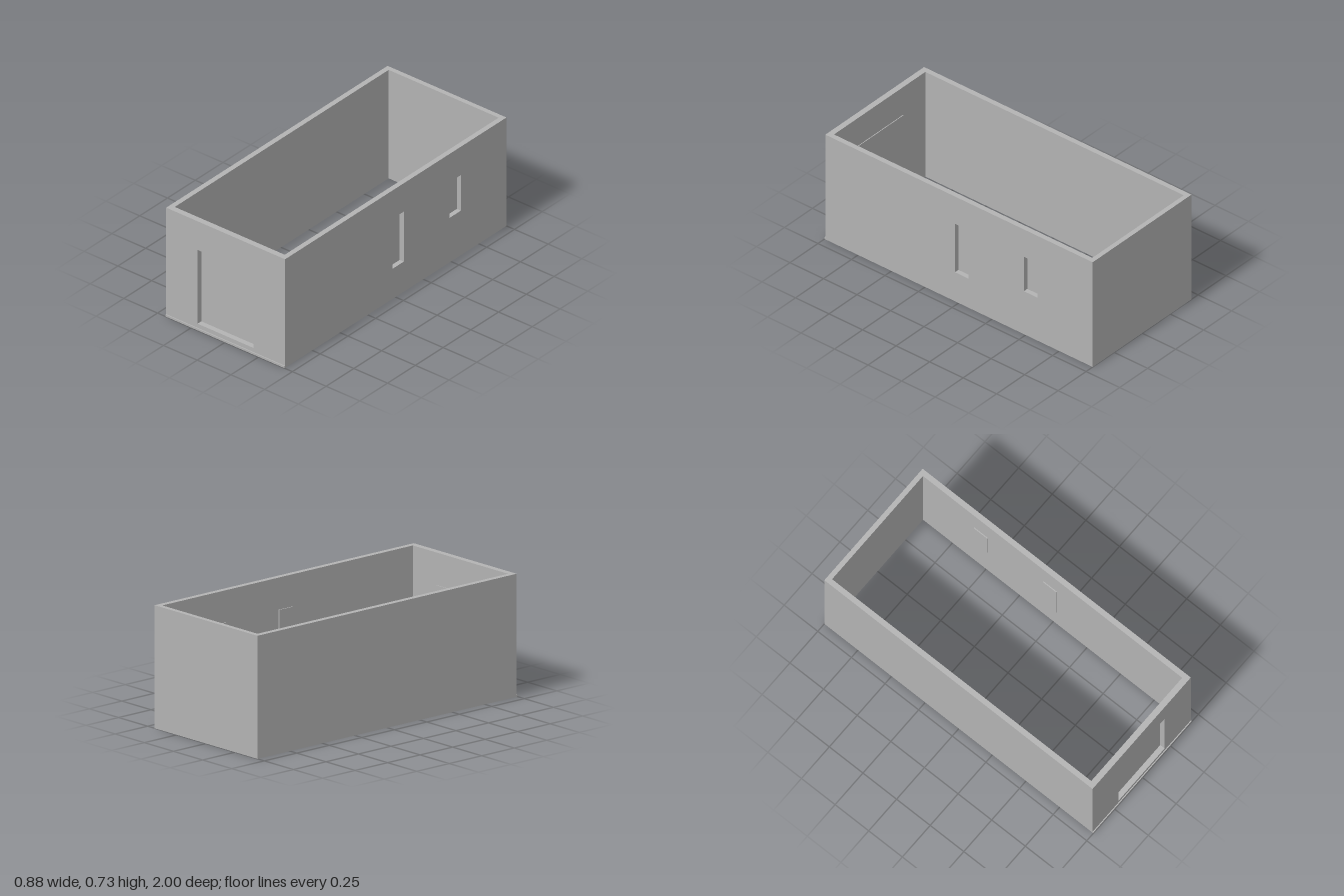
import * as THREE from 'three';

const H = 0.731, HALF_W = 0.441, T = 0.033;
const BACK = -1, FRONT = 0.994, FRONT_IN = 0.957, BACK_IN = -0.97;

// Upright slab in the xy plane with rectangular openings [u0, u1, y0, y1]
function wallGeometry(u0, u1, depth, openings = []) {
  const rect = (path, a, b, c, d) =>
    path.moveTo(a, c).lineTo(b, c).lineTo(b, d).lineTo(a, d).closePath();
  const shape = rect(new THREE.Shape(), u0, u1, 0, H);
  for (const o of openings) shape.holes.push(rect(new THREE.Path(), ...o));
  return new THREE.ExtrudeGeometry(shape, { depth, bevelEnabled: false });
}

// Axis-aligned box from its extents
function boxGeometry(x0, x1, y0, y1, z0, z1) {
  return new THREE.BoxGeometry(x1 - x0, y1 - y0, z1 - z0)
    .translate((x0 + x1) / 2, (y0 + y1) / 2, (z0 + z1) / 2);
}

export function createModel() {
  const group = new THREE.Group();
  const grey = new THREE.MeshStandardMaterial({ color: 0xb3b3b3 });
  grey.name = 'wall grey';
  const add = (name, geometry) => {
    const mesh = new THREE.Mesh(geometry, grey);
    mesh.name = name;
    group.add(mesh);
  };

  // Front wall with its gate opening, plus the back wall
  const gate = [-0.208, 0.206, 0.041, 0.538];
  add('frontWall', wallGeometry(-HALF_W, HALF_W, FRONT - FRONT_IN, [gate]).translate(0, 0, FRONT_IN));
  add('backWall', wallGeometry(-HALF_W, HALF_W, BACK_IN - BACK).translate(0, 0, BACK));

  // Side walls run between them; shape u is -z after the turn
  const windows = [[-0.027, 0.075, 0.203, 0.54], [0.487, 0.589, 0.30, 0.54]];
  const inner = HALF_W - T;
  add('leftWall', wallGeometry(-FRONT_IN, -BACK_IN, T, windows).rotateY(Math.PI / 2).translate(inner, 0, 0));
  add('rightWall', wallGeometry(-FRONT_IN, -BACK_IN, T).rotateY(Math.PI / 2).translate(-HALF_W, 0, 0));

  // Recessed panels, standing slightly proud of the inner wall faces
  add('gatePanel', boxGeometry(...gate, 0.952, 0.961));
  windows.forEach(([u0, u1, y0, y1], i) =>
    add('windowPanel' + (i + 1), boxGeometry(0.402, 0.411, y0, y1, -u1, -u0)));

  // Shallow sill strip along the foot of the front wall
  add('frontSill', boxGeometry(-HALF_W, HALF_W, 0, 0.013, FRONT, 1));

  return group;
}
